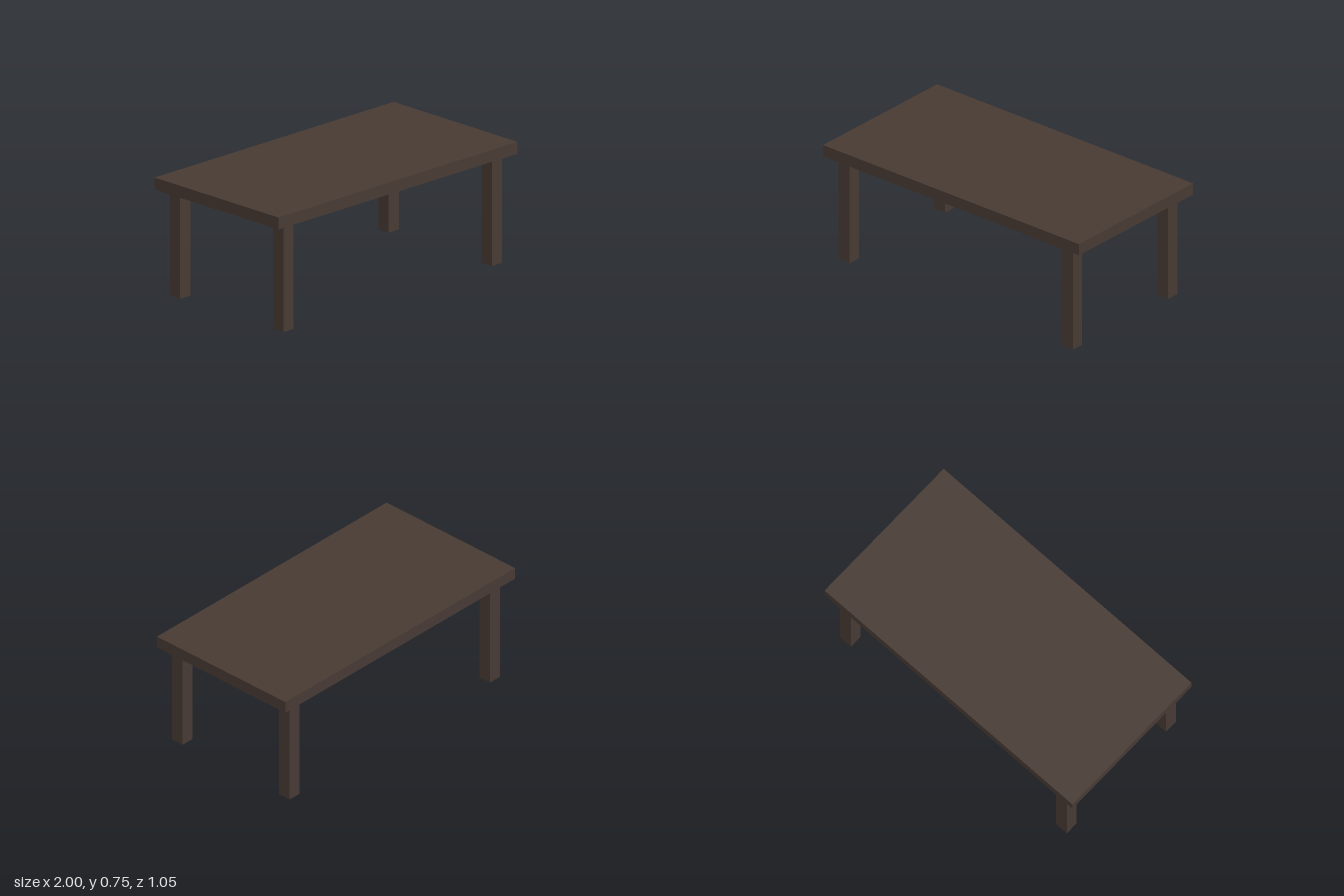
import * as THREE from 'three';

export function createModel() {
  const table = new THREE.Group();
  table.name = 'table';

  const darkWood = new THREE.MeshStandardMaterial({ color: 0x483b34 });
  darkWood.name = 'dark wood';

  const height = 0.75, topThickness = 0.075, legWidth = 0.086;
  const legHeight = height - topThickness;

  // Table top
  const top = new THREE.Mesh(new THREE.BoxGeometry(2, topThickness, 1.046), darkWood);
  top.name = 'tableTop';
  top.position.y = height - topThickness / 2;
  table.add(top);

  // Four square legs, set in from the corners
  const legGeometry = new THREE.BoxGeometry(legWidth, legHeight, legWidth);
  for (const [sideName, sx] of [['Left', 1], ['Right', -1]]) {
    for (const [endName, sz] of [['front', 1], ['back', -1]]) {
      const leg = new THREE.Mesh(legGeometry, darkWood);
      leg.name = `${endName}${sideName}Leg`;
      leg.position.set(sx * 0.872, legHeight / 2, sz * 0.436);
      table.add(leg);
    }
  }

  return table;
}
